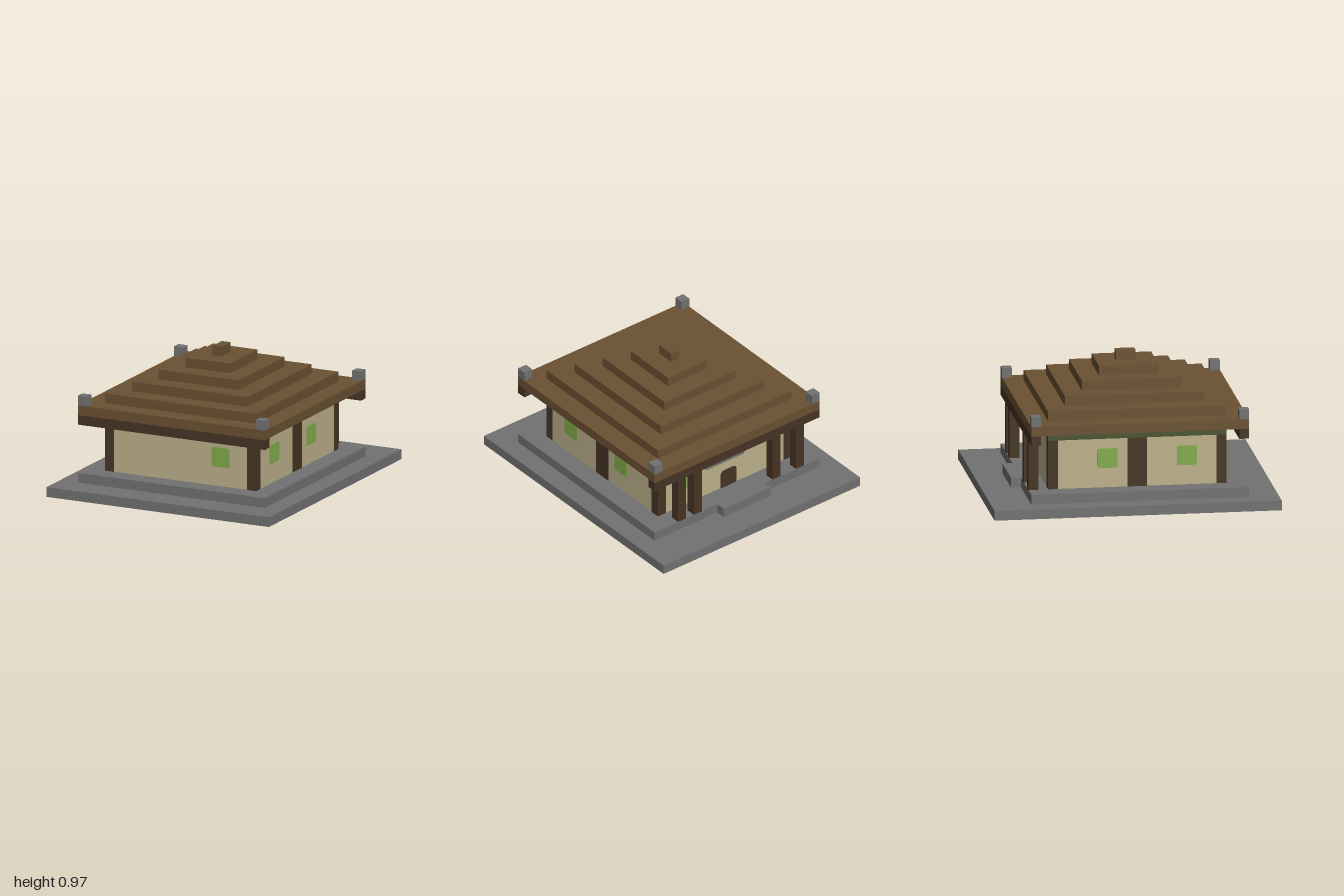
import * as THREE from 'three';

const U = 2 / 29; // one building block

const mat = (name, color) => {
  const m = new THREE.MeshStandardMaterial({ color });
  m.name = name;
  return m;
};

export function createModel() {
  const stone = mat('stone', 0x727272);
  const roofWood = mat('roof wood', 0x6b5133);
  const darkWood = mat('dark wood', 0x473424);
  const plaster = mat('plaster', 0xbdb18b);
  const trim = mat('green trim', 0x4b5430);
  const glass = mat('green window', 0x82ad4b);

  const group = new THREE.Group();
  group.name = 'pavilion';

  // Box given by its extents in blocks
  const block = (name, m, x0, x1, y0, y1, z0, z1) => {
    const g = new THREE.BoxGeometry((x1 - x0) * U, (y1 - y0) * U, (z1 - z0) * U);
    g.translate((x0 + x1) / 2 * U, (y0 + y1) / 2 * U, (z0 + z1) / 2 * U);
    const mesh = new THREE.Mesh(g, m);
    mesh.name = name;
    group.add(mesh);
    return mesh;
  };

  // Thin plate with rounded corners; centre and size in blocks, turned about y
  const plate = (name, m, x, y, z, w, h, turn, rTop = 0.2, rBottom = 0.2) => {
    const a = w / 2, b = h / 2, s = new THREE.Shape();
    s.moveTo(-a + rBottom, -b);
    s.lineTo(a - rBottom, -b);
    s.quadraticCurveTo(a, -b, a, -b + rBottom);
    s.lineTo(a, b - rTop);
    s.quadraticCurveTo(a, b, a - rTop, b);
    s.lineTo(-a + rTop, b);
    s.quadraticCurveTo(-a, b, -a, b - rTop);
    s.lineTo(-a, -b + rBottom);
    s.quadraticCurveTo(-a, -b, -a + rBottom, -b);
    const g = new THREE.ExtrudeGeometry(s, { depth: 0.06, bevelEnabled: false, curveSegments: 4 });
    g.scale(U, U, U);
    const mesh = new THREE.Mesh(g, m);
    mesh.name = name;
    mesh.position.set(x * U, y * U, z * U);
    mesh.rotation.y = turn;
    group.add(mesh);
  };

  // Stone base, platform and back step
  block('base', stone, -12.5, 12.5, 0, 1, -14.5, 14.5);
  block('platform', stone, -10.5, 10.5, 1, 2, -10.5, 11.5);
  block('backStep', stone, -3.5, 2.5, 1, 2, -11.5, -10.5);

  // Plaster walls, with the green band above
  block('walls', plaster, -8.47, 8.47, 2, 7, -8.47, 9.47);
  block('wallBand', trim, -8.5, 8.5, 7, 8, -8.5, 9.5);

  // Corner posts, and the double post in each side wall
  for (const s of [-1, 1]) {
    const x0 = s > 0 ? 7.5 : -8.5;
    for (const z of [-8.5, 8.5]) block('cornerPost', darkWood, x0, x0 + 1, 2, 7, z, z + 1);
    block('sidePost', darkWood, x0, x0 + 1, 2, 7, -0.5, 1.5);
    // Side windows
    for (const z of [5.5, -2.5]) plate('sideWindow', glass, s * 8.47, 5, z, 2, 2, s * Math.PI / 2);
  }

  // Front and back windows, sign and door
  plate('frontWindow', glass, 4.5, 5, 9.47, 2, 2, 0);
  plate('backWindow', glass, 4.5, 5, -8.47, 2, 2, Math.PI);
  plate('signBoard', stone, 0, 5.5, -8.47, 5, 1, Math.PI, 0.2, 0.3);
  plate('door', darkWood, -0.5, 3, -8.47, 2, 2, Math.PI, 0.5, 0.01);

  // Porch posts under the back eave
  for (const x of [-8.5, -5.5, 4.5, 6.5]) block('porchPost', darkWood, x, x + 1, 2, 7, -10.5, -9.5);

  // Beams under the front and back eaves
  for (const z of [-10.5, 10.5]) block('eaveBeam', darkWood, -10.5, 10.5, 7, 8, z, z + 1);

  // Stepped roof
  for (let i = 0; i < 6; i++) {
    const h = 10.5 - 2 * i;
    block('roofTier' + (i + 1), roofWood, -h, h, 8 + i, 9 + i, -h, h + 1);
  }

  // Stone caps on the roof corners
  for (const x of [-10.5, 9.5])
    for (const z of [-10.5, 10.5]) block('cornerCap', stone, x, x + 1, 9, 10, z, z + 1);

  return group;
}
